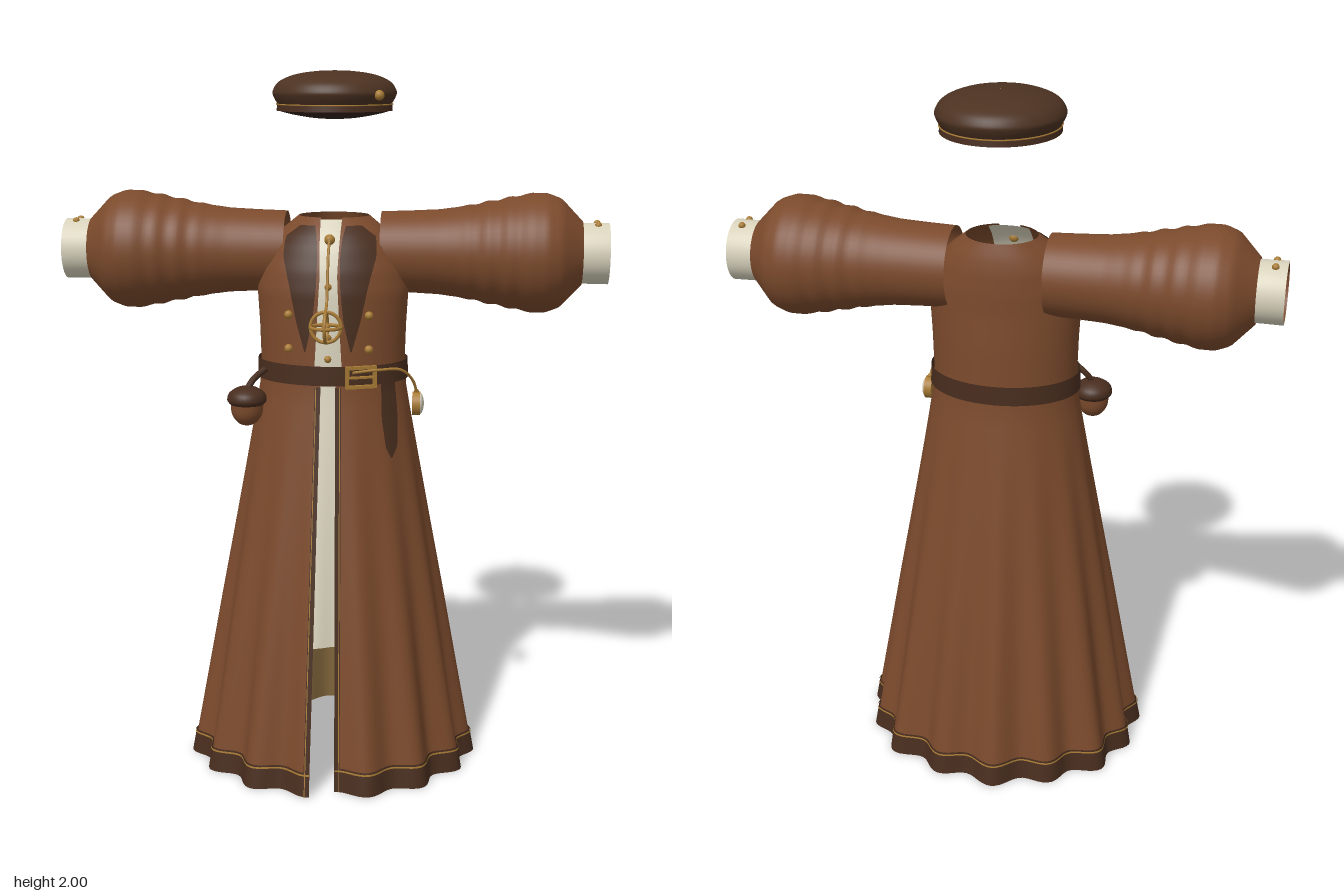
import * as THREE from 'three';

const mat = (name, color, side = THREE.FrontSide) => {
  const m = new THREE.MeshStandardMaterial({ color, side });
  m.name = name;
  return m;
};

// Piecewise-linear lookup in rows of [y, a, b, ...]
function lerpRows(rows, y, col = 1) {
  let i = 0;
  while (i < rows.length - 2 && y > rows[i + 1][0]) i++;
  const t = THREE.MathUtils.clamp((y - rows[i][0]) / (rows[i + 1][0] - rows[i][0]), 0, 1);
  return THREE.MathUtils.lerp(rows[i][col], rows[i + 1][col], t);
}

// Coat body rings: height, half width, half depth, centre z
const BODY = [
  [0, 0.4, 0.347, 0], [0.5, 0.318, 0.265, 0], [1.13, 0.209, 0.161, 0], [1.2, 0.206, 0.16, 0],
  [1.3, 0.209, 0.158, 0], [1.4, 0.215, 0.153, 0], [1.46, 0.207, 0.147, -0.006],
  [1.52, 0.182, 0.134, -0.016], [1.56, 0.15, 0.117, -0.026], [1.6, 0.1, 0.09, -0.04],
];

// Point on the coat; angle 0 is the front, growing towards +x
function coatPoint(a, y, off = 0) {
  const k = Math.max(0, 1 - y / 1.1);
  const wave = -0.019 * Math.pow(k, 1.3) * (Math.sin(15 * a) + 0.25 * Math.sin(7 * a + 1));
  const rx = lerpRows(BODY, y, 1) + wave + off, rz = lerpRows(BODY, y, 2) + wave + off;
  return new THREE.Vector3(rx * Math.sin(a), y, lerpRows(BODY, y, 3) + rz * Math.cos(a));
}
const angleAt = (x, y) => Math.asin(THREE.MathUtils.clamp(x / lerpRows(BODY, y, 1), -0.98, 0.98));

// Sheet following the coat between two angle functions of y
function patch(a0, a1, y0, y1, off, nu, nv) {
  const pos = [], idx = [];
  for (let j = 0; j <= nv; j++) {
    const y = y0 + (y1 - y0) * j / nv;
    for (let i = 0; i <= nu; i++) {
      const a = THREE.MathUtils.lerp(a0(y), a1(y), i / nu);
      pos.push(...coatPoint(a, y, off).toArray());
      if (i < nu && j < nv) {
        const p = j * (nu + 1) + i, q = p + nu + 1;
        idx.push(p, p + 1, q + 1, p, q + 1, q);
      }
    }
  }
  const g = new THREE.BufferGeometry();
  g.setAttribute('position', new THREE.Float32BufferAttribute(pos, 3));
  g.setIndex(idx);
  g.computeVertexNormals();
  return g;
}

export function createModel() {
  const root = new THREE.Group();
  root.name = 'longCoatOutfit';
  const D = THREE.DoubleSide;
  const leather = mat('brownLeather', 0x7b4a2c, D);
  const trim = mat('darkTrim', 0x482d1e, D);
  const felt = mat('hatFelt', 0x4c3221);
  const under = mat('hatUnderside', 0x33221a);
  const cream = mat('creamCloth', 0xd8d2bc, D);
  const brass = mat('brass', 0xa87b35, D);
  const lining = mat('oliveLining', 0x8a6d40, D);

  const add = (name, geo, material, pos = [0, 0, 0], parent = root) => {
    const m = new THREE.Mesh(geo, material);
    m.name = name;
    m.position.set(...pos);
    parent.add(m);
    return m;
  };
  const V = (...p) => new THREE.Vector3(...p);
  const tube = (name, pts, r, material) =>
    add(name, new THREE.TubeGeometry(new THREE.CatmullRomCurve3(pts.map(p => V(...p))), 32, r, 8), material);
  const stud = (name, p, r = 0.011) => add(name, new THREE.SphereGeometry(r, 14, 10), brass, p);

  // Skirt, open at the front, with lining, hem and edge trims
  const gap = y => 0.035 - 0.014 * y / 1.14;
  const left = d => y => angleAt(gap(y) + d, y);
  const right = d => y => 2 * Math.PI - angleAt(gap(y) + d, y);
  add('skirt', patch(left(0), right(0), 0, 1.17, 0, 180, 24), leather);
  add('skirtLining', patch(left(0.001), right(0.001), 0, 1.13, -0.006, 180, 24), lining);
  add('hemBand', patch(left(0), right(0), 0, 0.068, 0.004, 180, 2), trim);
  add('hemStitch', patch(left(0), right(0), 0.059, 0.064, 0.007, 180, 1), brass);
  for (const s of [1, -1]) {
    const edge = d => y => s * angleAt(gap(y) + d, y);
    const strip = (name, d0, d1, off, m) => s > 0
      ? add(name, patch(edge(d0), edge(d1), 0, 1.14, off, 3, 24), m)
      : add(name, patch(edge(d1), edge(d0), 0, 1.14, off, 3, 24), m);
    strip('frontEdgeTrim', -0.001, 0.015, 0.005, trim);
    strip('frontEdgeStitch', 0.01, 0.0125, 0.007, brass);
  }

  // Bodice and shirt front
  const OPEN = [[1.16, 0.04], [1.3, 0.032], [1.45, 0.024], [1.6, 0.03]];
  const open = y => angleAt(lerpRows(OPEN, y), y);
  add('bodice', patch(open, y => 2 * Math.PI - open(y), 1.16, 1.6, 0, 72, 28), leather);
  const shirt = y => angleAt(y > 1.16 ? 0.06 : 0.1, y);
  add('shirtFront', patch(y => -shirt(y), shirt, 1.14, 1.595, -0.004, 12, 24), cream);
  add('shirtTail', patch(y => -shirt(y), shirt, 0.41, 1.14, -0.014, 16, 16), cream);

  // Lapels: height, inner x, outer x
  const LAPEL = [[1.24, 0.06, 0.063], [1.32, 0.042, 0.085], [1.42, 0.032, 0.105],
    [1.5, 0.03, 0.124], [1.55, 0.034, 0.12], [1.58, 0.04, 0.08]];
  const lap = col => y => angleAt(lerpRows(LAPEL, y, col), y);
  add('leftLapel', patch(lap(1), lap(2), 1.24, 1.58, 0.009, 8, 24), trim);
  add('rightLapel', patch(y => -lap(2)(y), y => -lap(1)(y), 1.24, 1.58, 0.009, 8, 24), trim);

  // Chest and shirt buttons
  for (const y of [1.22, 1.28, 1.42, 1.545]) stud('shirtButton', coatPoint(0, y, 0.003).toArray(), y > 1.5 ? 0.015 : 0.01);
  for (const s of [1, -1]) for (const y of [1.245, 1.34])
    stud('chestButton', coatPoint(s * angleAt(0.11, y), y, 0.004).toArray(), 0.012);

  // Pendant of crossed rings on a cord
  tube('pendantCord', [[0, 1.545, 0.115], [0, 1.5, 0.15], [0, 1.43, 0.175], [0, 1.38, 0.195], [0, 1.365, 0.225]], 0.004, brass);
  const pendant = new THREE.Group();
  pendant.name = 'ringPendant';
  pendant.position.set(0, 1.32, 0.222);
  root.add(pendant);
  for (const [rx, ry] of [[0, 0], [Math.PI / 2, 0], [0, Math.PI / 2]])
    add('pendantRing', new THREE.TorusGeometry(0.042, 0.005, 8, 36), brass, [0, 0, 0], pendant).rotation.set(rx, ry, 0);
  add('pendantCore', new THREE.SphereGeometry(0.012, 14, 10), brass, [0, 0, 0], pendant);

  // Sleeves and cuffs: radius, distance along the arm
  const SLEEVE = [[0.135, 0.113], [0.22, 0.116], [0.3, 0.12], [0.37, 0.13], [0.45, 0.146],
    [0.52, 0.16], [0.56, 0.168], [0.6, 0.168], [0.64, 0.153], [0.7, 0.09], [0.702, 0.078]];
  const sleevePts = [];
  for (let i = 0; i <= 60; i++) {
    const x = 0.135 + 0.565 * i / 60;
    const crease = 0.0025 * Math.sin(x * 105) * THREE.MathUtils.smoothstep(x, 0.32, 0.42) * (1 - THREE.MathUtils.smoothstep(x, 0.5, 0.58));
    sleevePts.push(new THREE.Vector2(lerpRows(SLEEVE, x) + crease, x));
  }
  const cuffPts = [[0.085, 0.695], [0.086, 0.774], [0.079, 0.774]].map(p => new THREE.Vector2(...p));
  for (const s of [1, -1]) {
    const arm = new THREE.Group();
    arm.name = s > 0 ? 'leftSleeve' : 'rightSleeve';
    arm.position.set(0, 1.497, -0.044);
    arm.rotation.z = -s * Math.PI / 2;
    root.add(arm);
    add('sleeve', new THREE.LatheGeometry(sleevePts, 48), leather, [0, 0, 0], arm);
    add('cuff', new THREE.LatheGeometry(cuffPts, 40), cream, [0, 0, 0], arm);
    add('cuffLining', new THREE.CylinderGeometry(0.079, 0.079, 0.1, 40, 1, true), leather, [0, 0.724, 0], arm);
    for (const z of [-0.075, -0.02]) stud('cuffStud', [s * 0.742, 1.578, z], 0.01);
  }

  // Belt, buckle and hanging end
  add('belt', patch(() => 0, () => 2 * Math.PI, 1.145, 1.2, 0.008, 72, 1), trim);
  const buckle = new THREE.Group();
  buckle.name = 'buckle';
  buckle.position.set(0.092, 1.17, 0.158);
  buckle.rotation.y = 0.36;
  root.add(buckle);
  for (const s of [1, -1]) {
    add('buckleBar', new THREE.BoxGeometry(0.088, 0.009, 0.012), brass, [0, s * 0.027, 0], buckle);
    add('buckleSide', new THREE.BoxGeometry(0.009, 0.063, 0.012), brass, [s * 0.04, 0, 0], buckle);
  }
  add('bucklePin', new THREE.BoxGeometry(0.08, 0.006, 0.01), brass, [0, 0, 0.003], buckle);
  const END = [[0.94, 0.165, 0.169], [0.97, 0.152, 0.182], [1.05, 0.14, 0.18], [1.17, 0.135, 0.168]];
  add('beltEnd', patch(y => angleAt(lerpRows(END, y, 1), y), y => angleAt(lerpRows(END, y, 2), y), 0.94, 1.17, 0.016, 4, 16), trim);

  // Pocket watch on a chain
  tube('watchChain', [[0.07, 1.185, 0.172], [0.14, 1.19, 0.15], [0.2, 1.185, 0.115], [0.232, 1.15, 0.08], [0.245, 1.105, 0.06]], 0.004, brass);
  add('watchCase', new THREE.CylinderGeometry(0.033, 0.033, 0.022, 28), brass, [0.243, 1.078, 0.06]).rotation.z = Math.PI / 2;
  add('watchFace', new THREE.SphereGeometry(0.031, 24, 14), cream, [0.252, 1.078, 0.06]).scale.x = 0.4;
  stud('watchCrown', [0.243, 1.113, 0.06], 0.007);

  // Acorn-shaped pouch hung from the belt
  const lathe = (pts) => new THREE.LatheGeometry(new THREE.SplineCurve(pts.map(p => new THREE.Vector2(...p))).getPoints(16), 28);
  const px = -0.235, pz = 0.11;
  add('pouchBody', lathe([[0.001, -0.075], [0.025, -0.066], [0.043, -0.04], [0.047, 0]]), leather, [px, 1.09, pz]);
  add('pouchLid', lathe([[0.047, -0.012], [0.056, 0], [0.05, 0.02], [0.025, 0.036], [0.001, 0.04]]), trim, [px, 1.09, pz]);
  tube('pouchStrap', [[px, 1.12, pz], [-0.215, 1.15, 0.1], [-0.18, 1.18, 0.098]], 0.009, trim);

  // Flat cap with band, underside and stud
  const cap = new THREE.Group();
  cap.name = 'cap';
  cap.position.set(0, 0, -0.053);
  cap.scale.z = 1.07;
  root.add(cap);
  add('capCrown', new THREE.LatheGeometry(new THREE.SplineCurve([[0.158, 1.905], [0.171, 1.928], [0.173, 1.945],
    [0.155, 1.97], [0.11, 1.989], [0.05, 1.998], [0.001, 2]].map(p => new THREE.Vector2(...p))).getPoints(32), 56), felt, [0, 0, 0], cap);
  add('capBand', new THREE.CylinderGeometry(0.161, 0.163, 0.02, 56, 1, true), trim, [0, 1.9, 0], cap);
  add('capUnderside', lathe([[0.001, 1.866], [0.06, 1.87], [0.12, 1.88], [0.162, 1.891]]), under, [0, 0, 0], cap);
  add('capStitch', new THREE.TorusGeometry(0.163, 0.002, 6, 56), brass, [0, 1.908, 0], cap).rotation.x = Math.PI / 2;
  stud('capStud', [0.133, 1.935, 0.073], 0.014);

  return root;
}
